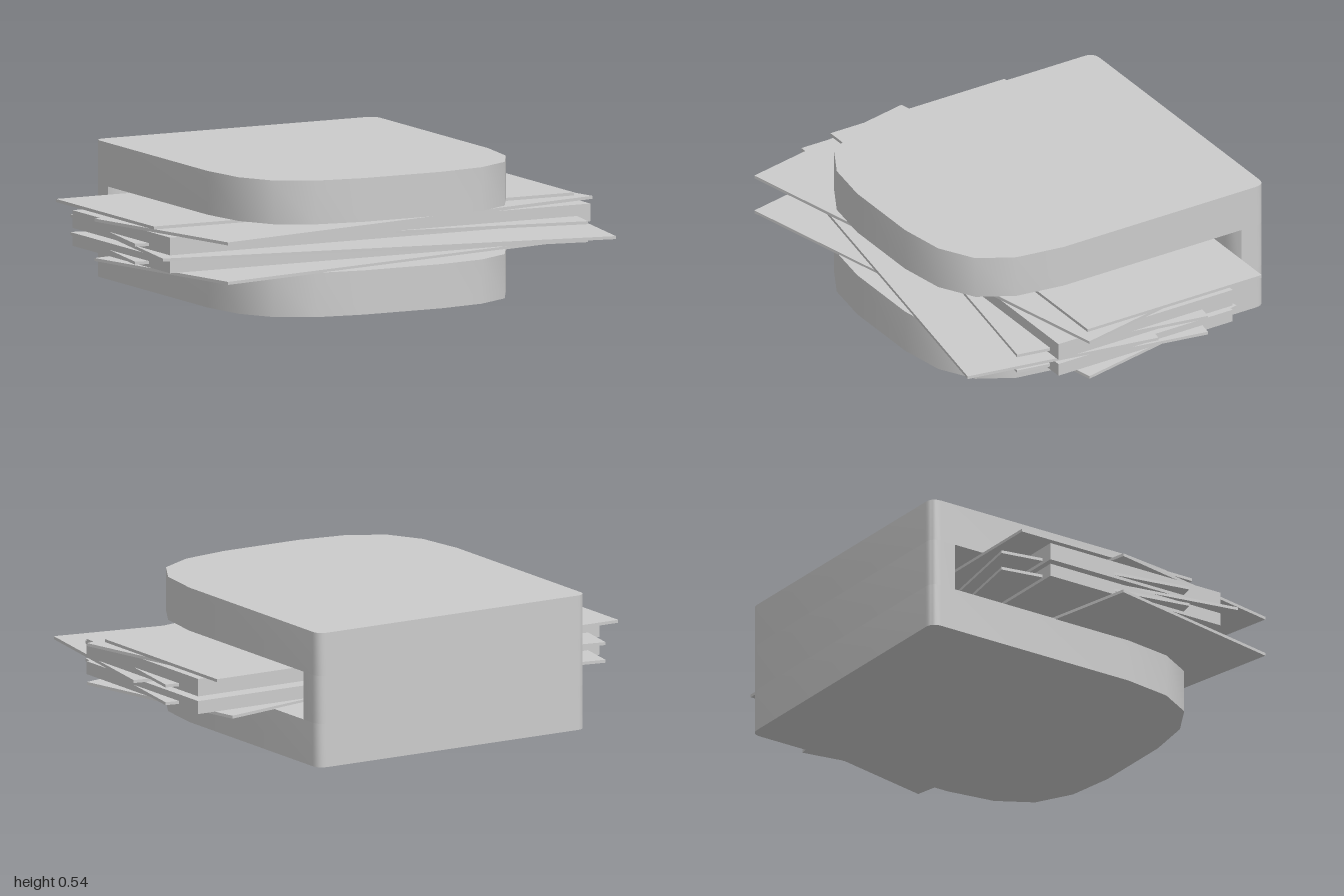
import * as THREE from 'three';
import { toCreasedNormals } from 'three/addons/utils/BufferGeometryUtils.js';

const X0 = -0.64, X1 = 0.605, BACK = -0.765, R = 0.045;
const material = new THREE.MeshStandardMaterial({ color: 0xcccccc });

// Plan outline in (x, z): rounded back corners, then the front edge points.
function outline(front) {
  const s = new THREE.Shape();
  s.moveTo(X0 + R, BACK);
  s.lineTo(X1 - R, BACK);
  s.quadraticCurveTo(X1, BACK, X1, BACK + R);
  front.forEach(([x, z]) => s.lineTo(x, z));
  s.lineTo(X0, BACK + R);
  s.quadraticCurveTo(X0, BACK, X0 + R, BACK);
  return s;
}

// Upright slab between two heights.
function slab(name, front, y0, y1) {
  const geo = new THREE.ExtrudeGeometry(outline(front), { depth: y1 - y0, bevelEnabled: false, curveSegments: 6 });
  geo.rotateX(Math.PI / 2).translate(0, y1, 0);
  const mesh = new THREE.Mesh(toCreasedNormals(geo, 0.65), material);
  mesh.name = name;
  return mesh;
}

function sheet(name, y, z, degrees, thickness = 0.012) {
  const mesh = new THREE.Mesh(new THREE.BoxGeometry(1.865, thickness, 0.808), material);
  mesh.position.set(0, y, z);
  mesh.rotation.y = THREE.MathUtils.degToRad(degrees);
  mesh.name = name;
  return mesh;
}

export function createModel() {
  const group = new THREE.Group();
  group.name = 'clampedSheetStack';

  // C-shaped clamp with a rounded nose
  const nose = [
    [X1, 0.17], [0.575, 0.37], [0.495, 0.51], [0.35, 0.59], [0.155, 0.62],
    [-0.19, 0.62], [-0.385, 0.59], [-0.53, 0.51], [-0.61, 0.37], [X0, 0.17],
  ];
  const wall = [
    [X1, -0.655], [X1 - 0.03, -0.637], [X1 - 0.08, -0.63],
    [X0 + 0.08, -0.63], [X0 + 0.03, -0.637], [X0, -0.655],
  ];
  group.add(
    slab('lowerJaw', nose, 0, 0.175),
    slab('backWall', wall, 0.175, 0.367),
    slab('upperJaw', nose, 0.367, 0.54),
  );

  // Straight stacks of sheets in the slot
  group.add(
    sheet('lowerStack', 0.214, 0, 0, 0.052),
    sheet('upperStack', 0.294, 0, 0, 0.07),
  );

  // Loose sheets: height, z offset, turn in degrees
  [
    [0.179, 0.1, 12],
    [0.207, -0.018, -10],
    [0.25, 0.212, -10],
    [0.278, -0.018, -10],
    [0.335, 0.1, 12],
    [0.349, -0.135, 0],
  ].forEach(([y, z, turn], i) => group.add(sheet(`looseSheet${i + 1}`, y, z, turn)));

  return group;
}
